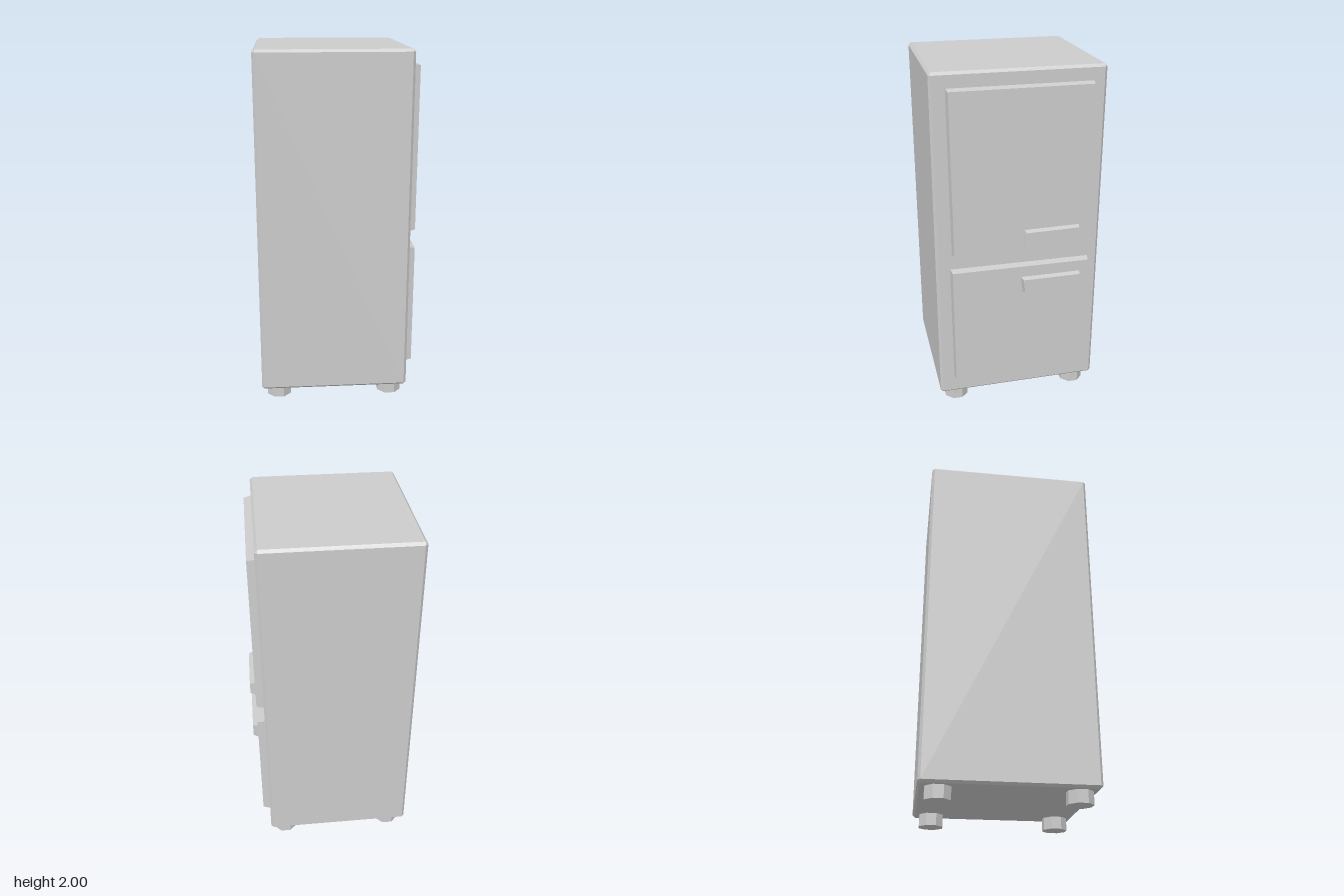
import * as THREE from 'three';
import { ConvexGeometry } from 'three/addons/geometries/ConvexGeometry.js';

// Box with every edge cut flat: three points around each corner
function chamferedBox(w, h, d, c) {
  const points = [];
  for (const sx of [-1, 1]) for (const sy of [-1, 1]) for (const sz of [-1, 1]) {
    for (const [a, b, e] of [[0, c, c], [c, 0, c], [c, c, 0]]) {
      points.push(new THREE.Vector3(sx * (w / 2 - a), sy * (h / 2 - b), sz * (d / 2 - e)));
    }
  }
  return new ConvexGeometry(points);
}

// Raised panel on the +x side: corners are [z, y], the outer face is inset
function raisedPanel(corners, x0, x1, inset) {
  const cz = corners.reduce((s, p) => s + p[0], 0) / 4;
  const cy = corners.reduce((s, p) => s + p[1], 0) / 4;
  const points = [];
  for (const [z, y] of corners) {
    points.push(new THREE.Vector3(x0, y, z));
    points.push(new THREE.Vector3(x1, y - Math.sign(y - cy) * inset, z - Math.sign(z - cz) * inset));
  }
  return new ConvexGeometry(points);
}

export function createModel() {
  const model = new THREE.Group();
  model.name = 'refrigerator';
  const grey = new THREE.MeshStandardMaterial({ color: 0xcccccc });
  grey.name = 'grey enamel';
  grey.flatShading = true;

  const add = (name, geometry, x = 0, y = 0, z = 0) => {
    const mesh = new THREE.Mesh(geometry, grey);
    mesh.name = name;
    mesh.position.set(x, y, z);
    model.add(mesh);
  };

  // Cabinet
  add('cabinet', chamferedBox(0.84, 1.93, 0.942, 0.0145), -0.035, 1.035, 0);

  // Doors, slightly uneven in outline
  add('upperDoor', raisedPanel(
    [[0.39, 1.918], [-0.4, 1.918], [-0.4, 0.988], [0.382, 0.988]], 0.38, 0.426, 0.009));
  add('lowerDoor', raisedPanel(
    [[0.394, 0.9], [-0.408, 0.897], [-0.402, 0.182], [0.39, 0.182]], 0.38, 0.426, 0.009));

  // Handles
  add('upperHandle', raisedPanel(
    [[-0.018, 1.118], [-0.338, 1.122], [-0.338, 1.038], [-0.01, 1.036]], 0.42, 0.454, 0.01));
  add('lowerHandle', raisedPanel(
    [[-0.003, 0.826], [-0.352, 0.826], [-0.347, 0.73], [-0.013, 0.726]], 0.42, 0.454, 0.01));

  // Octagonal feet
  const foot = new THREE.CylinderGeometry(0.073, 0.073, 0.08, 8);
  foot.rotateY(Math.PI / 8);
  for (const x of [-0.357, 0.294]) {
    for (const z of [-0.365, 0.367]) add('foot', foot, x, 0.04, z);
  }
  return model;
}
